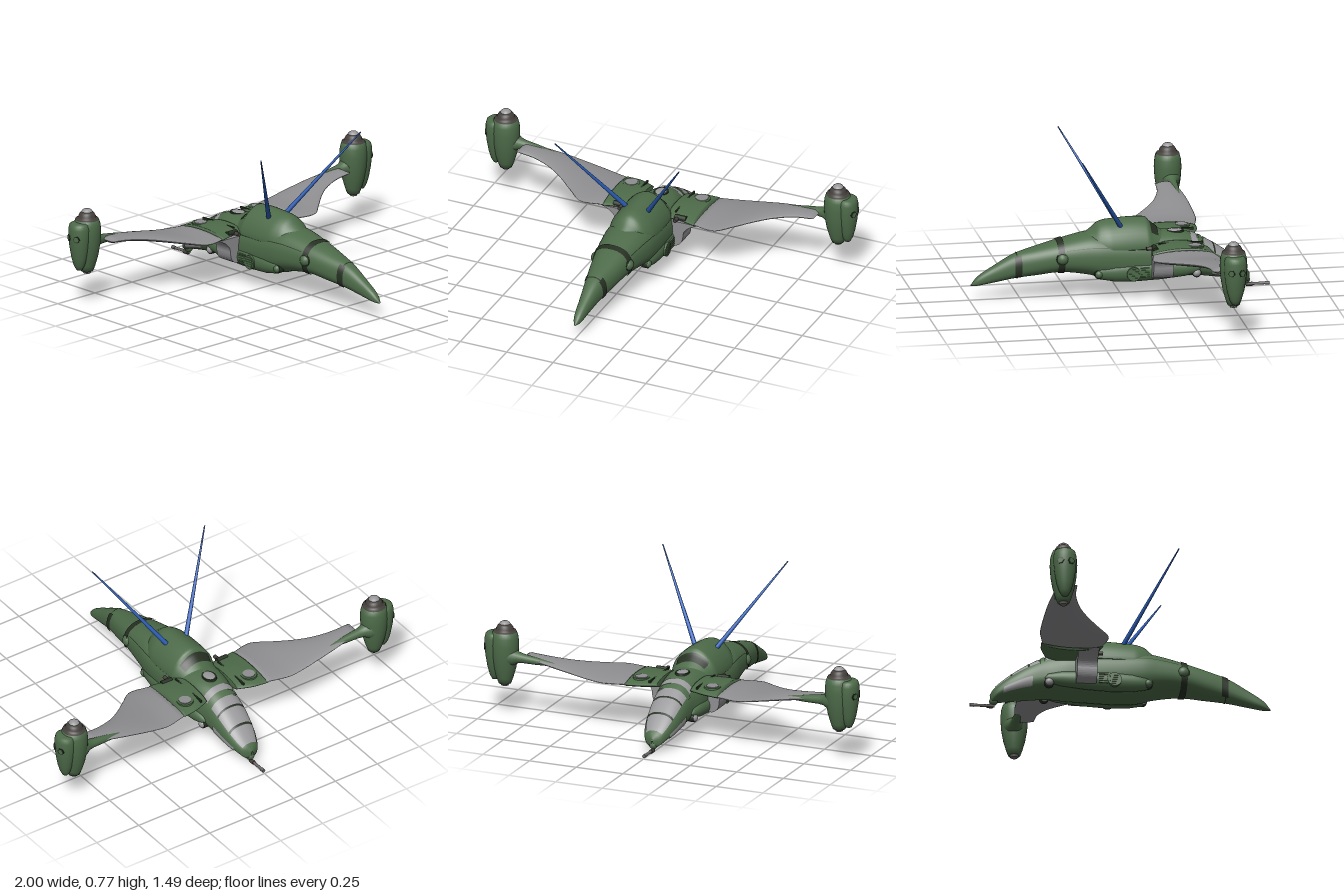
import * as THREE from 'three';

const mat = (name, color) => {
  const m = new THREE.MeshStandardMaterial({ color });
  m.name = name;
  return m;
};

// Quad grid over rings of points; closed rings wrap for smooth shading
function loft(rings, closed = true) {
  const n = rings[0].length, pos = [], idx = [];
  rings.forEach(r => r.forEach(p => pos.push(...p)));
  for (let i = 0; i < rings.length - 1; i++) {
    for (let j = 0; j < (closed ? n : n - 1); j++) {
      const k = (j + 1) % n, a = i * n, b = a + n;
      idx.push(a + j, a + k, b + j, a + k, b + k, b + j);
    }
  }
  const g = new THREE.BufferGeometry();
  g.setAttribute('position', new THREE.Float32BufferAttribute(pos, 3));
  g.setIndex(idx);
  g.computeVertexNormals();
  return g;
}

// Smooth interpolation through rows whose first entry is the position
function sample(rows, t) {
  let i = 0;
  while (i < rows.length - 2 && t > rows[i + 1][0]) i++;
  const a = rows[i], b = rows[i + 1], h = b[0] - a[0];
  const u = THREE.MathUtils.clamp((t - a[0]) / h, 0, 1);
  const p = rows[Math.max(i - 1, 0)], q = rows[Math.min(i + 2, rows.length - 1)];
  return a.map((v, c) => {
    const ma = (b[c] - p[c]) / (b[0] - p[0]) * h, mb = (q[c] - v) / (q[0] - a[0]) * h;
    const u2 = u * u, u3 = u2 * u;
    return (2 * u3 - 3 * u2 + 1) * v + (u3 - 2 * u2 + u) * ma + (3 * u2 - 2 * u3) * b[c] + (u3 - u2) * mb;
  });
}

// Body surface from rows of [z, top, widest height, bottom, half width]
const surface = (rows, e) => (z, deg, off = 0) => {
  const [, top, mid, bot, w] = sample(rows, z);
  const a = THREE.MathUtils.degToRad(deg), c = Math.cos(a), s = Math.sin(a);
  const pw = v => Math.sign(v) * Math.abs(v) ** e;
  return [w * pw(c) + off * c, mid + (s > 0 ? top - mid : mid - bot) * pw(s) + off * s, z];
};

// Part of a body surface between two stations and two angles
function patch(f, z0, z1, a0, a1, off = 0, nz = 8, na = 20) {
  const full = a1 - a0 === 360, rings = [];
  for (let i = 0; i <= nz; i++) {
    const r = [];
    for (let j = 0; j < (full ? na : na + 1); j++) r.push(f(z0 + (z1 - z0) * i / nz, a0 + (a1 - a0) * j / na, off));
    rings.push(r);
  }
  return loft(rings, full);
}

const lathe = (pts, n = 28) => new THREE.LatheGeometry(pts.map(p => new THREE.Vector2(...p)), n);

const HULL = [
  [-.645, .07, .05, .035, .004], [-.635, .09, .055, .027, .035], [-.6, .125, .075, .042, .06],
  [-.54, .175, .1, .055, .08], [-.46, .23, .13, .067, .092], [-.36, .285, .15, .08, .1],
  [-.28, .305, .17, .078, .115], [-.15, .31, .18, .077, .125], [0, .315, .19, .077, .13],
  [.1, .318, .2, .088, .128], [.164, .318, .2, .11, .12], [.3, .288, .2, .128, .097],
  [.424, .256, .18, .116, .073], [.53, .224, .155, .104, .05], [.624, .172, .125, .087, .034],
  [.712, .116, .09, .073, .02], [.744, .077, .075, .073, .003]];
const HUMP = [
  [-.225, .296, .25, .23, .08], [-.15, .352, .25, .23, .112], [-.125, .382, .25, .23, .12],
  [.056, .38, .25, .23, .12], [.112, .367, .25, .23, .105], [.144, .34, .25, .23, .09], [.2, .3, .25, .23, .06]];
// Wing rows: x, rear edge z, front edge z, height, half thickness
const WING = [
  [.09, -.38, -.14, .255, .02], [.17, -.41, -.135, .255, .022], [.25, -.42, -.12, .252, .021], [.36, -.445, -.105, .253, .019],
  [.44, -.448, -.165, .264, .018], [.52, -.445, -.23, .278, .018], [.6, -.44, -.28, .292, .017],
  [.7, -.428, -.313, .306, .016], [.8, -.412, -.32, .315, .015]];

export function createModel() {
  const root = new THREE.Group();
  root.name = 'aircraft';
  const green = mat('hull green', 0x4d6b49), dark = mat('dark green', 0x262f22), grey = mat('panel grey', 0x98989a);
  const wingGrey = mat('wing grey', 0x8f8f92), metal = mat('gunmetal', 0x45413d), gunGrey = mat('gun grey', 0x6a6866);
  const blue = mat('antenna blue', 0x2a5cb4);
  const add = (parent, name, geo, material, x = 0, y = 0, z = 0) => {
    const m = new THREE.Mesh(geo, material);
    m.name = name;
    m.position.set(x, y, z);
    parent.add(m);
    return m;
  };
  const hull = surface(HULL, .85), hump = surface(HUMP, 1.12);

  // Fuselage and raised spine
  add(root, 'fuselage', patch(hull, -.645, .744, 0, 360, 0, 110, 48), green);
  add(root, 'spine', patch(hump, -.225, .2, 0, 360, 0, 44, 40), green);
  add(root, 'spineVent', patch(hump, -.18, -.142, 42, 138, .004), dark);
  add(root, 'tailSeam', patch(hull, .515, .521, 0, 360, .003, 2, 40), dark);
  add(root, 'tailBand', patch(hull, .29, .322, 0, 360, .005, 4, 40), dark);

  // Canopy panes with dark frame bars between them
  [[-.622, -.55], [-.541, -.465], [-.457, -.41], [-.378, -.345]].forEach(([a, b]) => {
    add(root, 'canopyPane', patch(hull, a, b, 38, 142, .004), grey);
  });
  [-.5455, -.461].forEach(z => add(root, 'canopyBar', patch(hull, z - .0045, z + .0045, 38, 142, .005, 2), dark));
  add(root, 'canopyArch', patch(hull, -.405, -.383, 30, 150, .005, 3), green);

  // Top hatch
  const hatchRim = add(root, 'hatchRim', new THREE.CylinderGeometry(.034, .037, .014, 28), dark, 0, .301, -.273);
  const hatch = add(root, 'hatch', new THREE.SphereGeometry(.029, 24, 12), grey, 0, .305, -.273);
  hatchRim.scale.z = 1.25;
  hatch.scale.set(1, .25, 1.3);

  // Nose gun on its mount
  const barrel = (name, r, len, y, z, m) => add(root, name, new THREE.CylinderGeometry(r, r, len, 12).rotateX(Math.PI / 2), m, 0, y, z);
  add(root, 'gunMount', new THREE.SphereGeometry(.021, 16, 12), green, 0, .036, -.627);
  barrel('gunBarrel', .007, .12, .012, -.682, gunGrey);
  barrel('gunSleeve', .0105, .03, .0105, -.645, metal);
  barrel('gunMuzzle', .009, .02, .012, -.734, gunGrey);

  const side = new THREE.Group();
  side.name = 'leftSide';

  // Lower window, side seam and dark tail plates
  add(side, 'lowerWindow', patch(hull, -.585, -.445, -33, 3, .004), grey);
  add(side, 'sideSeam', patch(hull, -.14, .28, 27, 29, .002, 20, 2), dark);
  add(side, 'tailPlate', patch(hull, .497, .53, -50, 55, .004, 4), dark);

  // Wing: green root, grey panel
  const wingPart = (x0, x1, grow) => {
    const rings = [];
    for (let i = 0; i <= 26; i++) {
      const [x, zb, zf, y, t] = sample(WING, x0 + (x1 - x0) * i / 26), r = [];
      const k = i === 0 || i === 26 ? .001 : 1;
      for (let j = 0; j < 28; j++) {
        const a = j / 28 * Math.PI * 2, s = Math.sin(a), c = Math.cos(a);
        r.push([x, y + (t + grow) * c * Math.abs(c) ** .3 * k, (zb + zf) / 2 + ((zf - zb) / 2 + grow) * s]);
      }
      rings.push(r);
    }
    return loft(rings);
  };
  add(side, 'wingRoot', wingPart(.08, .25, .005), green);
  add(side, 'wingPanel', wingPart(.235, .8, 0), wingGrey);
  add(side, 'rootHatchRim', new THREE.CylinderGeometry(.042, .044, .03, 24), green, .19, .264, -.34);
  add(side, 'rootHatch', new THREE.CylinderGeometry(.031, .031, .008, 24), wingGrey, .19, .278, -.34);
  add(side, 'rootSeam', new THREE.BoxGeometry(.008, .012, .22), dark, .126, .273, -.28);
  add(side, 'rootActuator', new THREE.CylinderGeometry(.014, .014, .06, 14).rotateZ(Math.PI / 2), dark, .165, .262, -.145);
  add(side, 'rootPipe', new THREE.CylinderGeometry(.01, .01, .05, 12).rotateX(Math.PI / 2), metal, .15, .26, -.13);

  // Curved pylon under the wing
  const pylon = new THREE.Shape();
  pylon.moveTo(.26, .24);
  pylon.quadraticCurveTo(.185, .215, .18, .17);
  pylon.quadraticCurveTo(.18, .115, .14, .105);
  pylon.lineTo(.11, .105);
  pylon.lineTo(.11, .24);
  add(side, 'pylon', new THREE.ExtrudeGeometry(pylon, { depth: .1, bevelEnabled: false, curveSegments: 10 }), wingGrey, 0, 0, -.236);

  // Side sponson with round end lamps
  const sponson = add(side, 'sponson', lathe([[.002, -.28], [.02, -.265], [.034, -.2], [.044, -.08], [.048, .05], [.044, .15], [.03, .225], [.002, .25]])
    .rotateX(Math.PI / 2), green, .097, .135, -.105);
  sponson.scale.set(.85, 1.08, 1);
  const lamp = (name, r, x, y, z, m) => {
    add(side, name + 'Collar', new THREE.CylinderGeometry(r, r, .03, 20).rotateZ(Math.PI / 2), dark, x - .008, y, z);
    add(side, name, new THREE.SphereGeometry(r * .92, 20, 14), m, x, y, z);
  };
  lamp('frontLamp', .023, .108, .13, .124, green);
  lamp('rearLamp', .023, .1, .112, -.364, grey);
  add(side, 'tailBoss', new THREE.SphereGeometry(.031, 20, 14), green, .082, .21, .3);
  add(side, 'tailBossCollar', new THREE.TorusGeometry(.031, .003, 8, 24).rotateY(Math.PI / 2), dark, .09, .21, .3);

  // Ribbed round grille and louvres
  add(side, 'roundGrille', new THREE.CylinderGeometry(.035, .035, .02, 24).rotateZ(Math.PI / 2), green, .133, .13, -.045);
  for (let i = 0; i < 5; i++) {
    add(side, 'grilleSlat', new THREE.BoxGeometry(.006, .006, .056 - Math.abs(i - 2) * .009), green, .143, .108 + i * .011, -.045);
    add(side, 'louvre', new THREE.BoxGeometry(.02, .006, .045), green, .13, .112 + i * .011, -.1);
  }

  // Upright engine nacelle with an outer fairing
  const nx = .895, nz = -.402;
  const body = add(side, 'nacelle', lathe([[0, .172], [.03, .172], [.04, .2], [.054, .25], [.064, .31], [.068, .37], [.065, .41], [.058, .435], [.046, .44], [0, .44]]), green, nx, 0, nz);
  body.scale.x = 1.04;
  const fairing = add(side, 'nacelleFairing', lathe([[0, .182], [.014, .187], [.026, .21], [.037, .25], [.047, .31], [.051, .36], [.051, .4], [.046, .422], [.036, .43], [0, .43]]), green, .947, 0, nz);
  fairing.scale.z = 1.1;
  add(side, 'nacelleFoot', new THREE.CylinderGeometry(.025, .018, .02, 16), gunGrey, nx, .17, nz);
  add(side, 'nacelleCap', lathe([[.058, .437], [.056, .442], [.044, .443], [.043, .455], [.036, .468], [.026, .477], [0, .478]]), metal, nx, 0, nz);
  add(side, 'nacelleTip', lathe([[.028, .473], [.025, .482], [.014, .49], [0, .491]], 20), grey, nx, 0, nz);

  // Paired ports on the fairing
  [-.026, .026].forEach(d => {
    const port = (name, r, out, m) => {
      const p = add(side, name, new THREE.CylinderGeometry(r, r, .008, 6).rotateZ(Math.PI / 2), m, .99 + out, .356, nz + d);
      p.rotation.y = -d * 17;
    };
    port('portRim', .018, 0, dark);
    port('port', .0135, .0015, green);
  });

  // Strut tapering from the nacelle into the wing
  add(side, 'nacelleStrut', lathe([[.001, .58], [.008, .62], [.018, .72], [.023, .79], [.029, .82], [.045, .845], [.055, .88]], 20)
    .rotateZ(-Math.PI / 2).applyMatrix4(new THREE.Matrix4().makeShear(.07, 0, 0, 0, 0, 0)), green, 0, .256, -.408);

  // Antenna splayed upward
  const from = new THREE.Vector3(.055, .35, .005), to = new THREE.Vector3(.335, .765, .247);
  const dir = to.clone().sub(from);
  const antenna = add(side, 'antenna', new THREE.CylinderGeometry(.003, .012, dir.length(), 12), blue);
  antenna.position.copy(from).addScaledVector(dir, .5);
  antenna.quaternion.setFromUnitVectors(new THREE.Vector3(0, 1, 0), dir.normalize());

  const other = side.clone();
  other.name = 'rightSide';
  other.scale.x = -1;
  root.add(side, other);
  return root;
}
